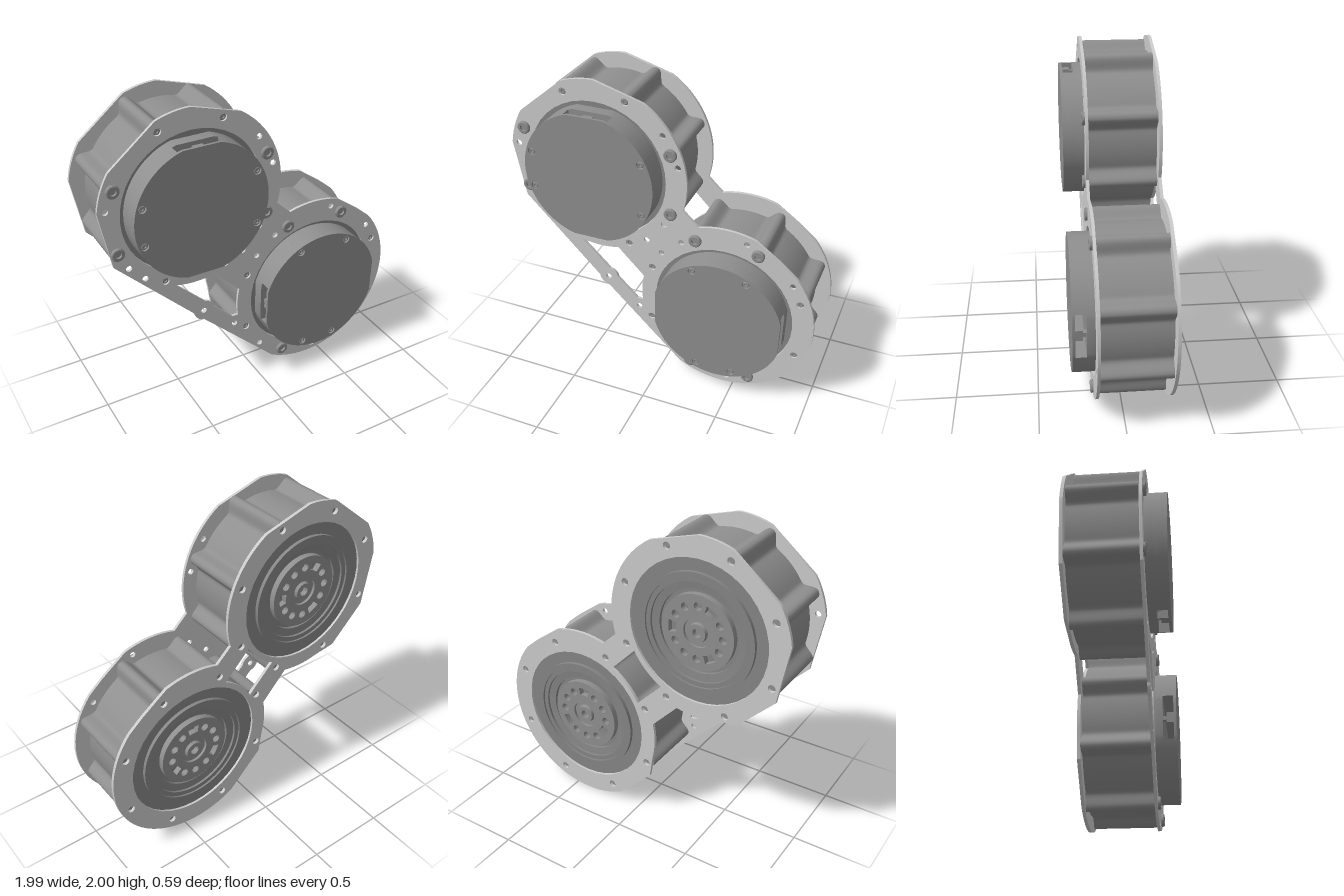
import * as THREE from 'three';
import { toCreasedNormals } from 'three/addons/utils/BufferGeometryUtils.js';

const plateMaterial = new THREE.MeshStandardMaterial({ color: 0xcccccc });
const motorMaterial = new THREE.MeshStandardMaterial({ color: 0x8f8f8f });
const coreMaterial = new THREE.MeshStandardMaterial({ color: 0x868686 });

const A = [-0.42, 1.418], B = [0.41, 0.585]; // upper and lower motor axes
const BOSS = [-0.375, 0.635];                // ear in the middle of the strut
const PLATE_R = 0.583, WAIST_R = 0.548, BOLT_R = 0.52;
const LOWER_TURN = 88.8;                     // lower motor's turn in degrees
const BOLT_ANGLES = Array.from({ length: 8 }, (_, i) => 22.5 + i * 45);

const polar = ([x, y], r, deg) => {
  const a = THREE.MathUtils.degToRad(deg);
  return new THREE.Vector2(x + r * Math.cos(a), y + r * Math.sin(a));
};

function arc(centre, r, from, to) {
  const n = Math.max(2, Math.ceil(Math.abs(to - from) / 4));
  return Array.from({ length: n + 1 }, (_, i) => polar(centre, r, from + ((to - from) * i) / n));
}

function circleHole(x, y, r) {
  const path = new THREE.Path();
  path.absarc(x, y, r, 0, Math.PI * 2);
  return path;
}

function add(parent, name, geometry, material = motorMaterial) {
  const mesh = new THREE.Mesh(geometry, material);
  mesh.name = name;
  parent.add(mesh);
  return mesh;
}

// Slab between two z levels
function slab(parent, name, points, z0, z1, holes = [], material = motorMaterial) {
  const shape = new THREE.Shape(points);
  shape.holes.push(...holes);
  const g = new THREE.ExtrudeGeometry(shape, { depth: z1 - z0, bevelEnabled: false, curveSegments: 20 });
  g.translate(0, 0, z0);
  return add(parent, name, toCreasedNormals(g, 0.5), material);
}

// Turned part about z; profile is [radius, z] from back to front
function turned(parent, name, profile, segments = 96, material = motorMaterial) {
  const g = new THREE.LatheGeometry(profile.map(([r, z]) => new THREE.Vector2(r, z)), segments);
  g.rotateX(Math.PI / 2);
  return add(parent, name, toCreasedNormals(g, 0.5), material);
}

// Screw head with a socket, base at z
function screw(parent, name, x, y, z, r, h) {
  const s = turned(parent, name, [[r, 0], [r, h * 0.8], [r * 0.85, h], [r * 0.5, h], [r * 0.5, h * 0.3], [0, h * 0.3]], 24);
  s.position.set(x, y, z);
}

function createMotor(name) {
  const motor = new THREE.Group();
  motor.name = name;

  // Housing wall with eight blended bolt lobes
  const outline = [];
  for (let i = 0; i < 288; i++) {
    const deg = i * 1.25;
    const d = ((deg % 45) - 22.5) * Math.PI / 180 * BOLT_R;
    outline.push(polar([0, 0], 0.485 + 0.08 * Math.exp(-Math.pow(Math.abs(d) / 0.048, 3)), deg));
  }
  slab(motor, 'housing', outline, -0.27, 0.15, [circleHole(0, 0, 0.45)]);

  // Core: stepped bearing rings at the back, flat shoulder at the front
  turned(motor, 'core', [
    [0, -0.245], [0.26, -0.245], [0.26, -0.265], [0.31, -0.27], [0.31, -0.285], [0.34, -0.285],
    [0.34, -0.297], [0.37, -0.297], [0.37, -0.275], [0.452, -0.275], [0.452, 0.145], [0, 0.145],
  ], 96, coreMaterial);

  // Output flange with round holes and three curved slots
  const holes = [circleHole(0, 0, 0.09)];
  for (let i = 0; i < 12; i++) {
    const deg = i * 30;
    if (i % 4) {
      const p = polar([0, 0], 0.165, deg);
      holes.push(circleHole(p.x, p.y, 0.025));
    } else {
      holes.push(new THREE.Path([...arc([0, 0], 0.19, deg - 12, deg + 12), ...arc([0, 0], 0.14, deg + 12, deg - 12)]));
    }
  }
  slab(motor, 'outputFlange', arc([0, 0], 0.235, 0, 356), -0.282, -0.245, holes);
  turned(motor, 'centreBoss', [
    [0, -0.25], [0.028, -0.25], [0.028, -0.285], [0.055, -0.285], [0.06, -0.265], [0.09, -0.265], [0.09, -0.245],
  ], 40);

  // Front cover: round with two flats and a cable channel between them
  const half = Math.asin(0.404 / 0.42) * 180 / Math.PI;
  const cap = [...arc([0, 0], 0.42, -half, half), ...arc([0, 0], 0.42, 180 - half, 180 + half)];
  const screws = [[-0.365, 0.118], [-0.365, -0.118], [0.345, 0.17], [0.345, -0.17]];
  slab(motor, 'coverBase', cap, 0.14, 0.215);
  slab(motor, 'coverFace', cap, 0.28, 0.297, screws.map(([x, y]) => circleHole(x, y, 0.024)));
  const side = Math.acos(0.14 / 0.42) * 180 / Math.PI;
  for (const turn of [0, 180]) {
    slab(motor, 'coverSide', arc([0, 0], 0.42, turn - side, turn + side), 0.215, 0.28);
  }
  for (const [x, y] of screws) screw(motor, 'coverScrew', x, y, 0.28, 0.019, 0.013);
  for (const s of [-1, 1]) {
    const plug = add(motor, 'connector', new THREE.BoxGeometry(0.065, 0.06, 0.045));
    plug.position.set(0, s * 0.36, 0.258);
    const pin = add(motor, 'connectorPin', new THREE.BoxGeometry(0.025, 0.04, 0.07));
    pin.position.set(0, s * 0.36, 0.245);
  }

  // Raised bolts on two sides, sunk screws elsewhere
  for (const deg of BOLT_ANGLES) {
    const p = polar([0, 0], BOLT_R, deg);
    if (Math.abs(p.x) > 0.4) {
      screw(motor, 'mountBolt', p.x, p.y, 0.165, 0.04, 0.022);
    } else {
      screw(motor, 'sunkScrew', p.x, p.y, 0.148, 0.02, 0.014);
    }
  }
  return motor;
}

// Arcs of the plate edge; long steps between listed angles are straight chords
const upperEdge = [
  ...arc(A, PLATE_R, -16, 57.5), ...arc(A, PLATE_R, 90, 111),
  ...arc(A, PLATE_R, 148, 172), polar(A, PLATE_R, 209),
];
const lowerEdge = [
  ...arc(B, PLATE_R, 241, 400), polar(B, 0.575, 412), ...arc(B, 0.604, 432, 466.5),
];
const motorHoles = () => [[A, 0], [B, LOWER_TURN]].flatMap(([c, turn]) => [
  circleHole(c[0], c[1], 0.45),
  ...BOLT_ANGLES.map((deg) => {
    const p = polar(c, BOLT_R, deg + turn);
    return circleHole(p.x, p.y, 0.023);
  }),
]);

export function createModel() {
  const model = new THREE.Group();
  model.name = 'twinMotorAssembly';

  const upper = createMotor('upperMotor');
  upper.position.set(A[0], A[1], 0);
  const lower = createMotor('lowerMotor');
  lower.position.set(B[0], B[1], 0);
  lower.rotation.z = THREE.MathUtils.degToRad(LOWER_TURN);
  model.add(upper, lower);

  // Front plate with strut, ear, window and small fixing holes
  const window = new THREE.Path([
    ...arc(A, WAIST_R, 256, 283), ...arc(B, WAIST_R, 167, 187.5),
    new THREE.Vector2(-0.175, 0.515), ...arc(BOSS, 0.067, 10, 80),
  ]);
  const fixings = [
    [0.01, 1.73], [0.105, 1.54], [-0.95, 1.5], [-0.84, 1.1], [-0.745, 1.0], [0.015, 1.13], [-0.1, 0.99], [0, 0.92],
    [0.13, 1.03], BOSS, [-0.16, 0.455], [0.03, 0.22], [0.45, 0.05], [0.545, 1.12], [0.84, 0.895],
  ];
  slab(model, 'frontPlate', [
    ...upperEdge, ...arc(BOSS, 0.063, 184, 266), ...lowerEdge,
  ], 0.15, 0.168, [...motorHoles(), window, ...fixings.map(([x, y]) => circleHole(x, y, 0.019))], plateMaterial);

  // Back plate with a waist and a window between the motors
  const waistWindow = new THREE.Path([...arc(A, 0.485, -61, -29), ...arc(B, 0.485, 119, 151)]);
  slab(model, 'backPlate', [
    ...upperEdge, polar(A, PLATE_R, 241), ...arc(A, WAIST_R, 256, 283),
    ...arc(B, WAIST_R, 167.5, 194), polar(B, PLATE_R, 209), ...lowerEdge,
  ], -0.29, -0.27, [...motorHoles(), waistWindow], plateMaterial);

  return model;
}
